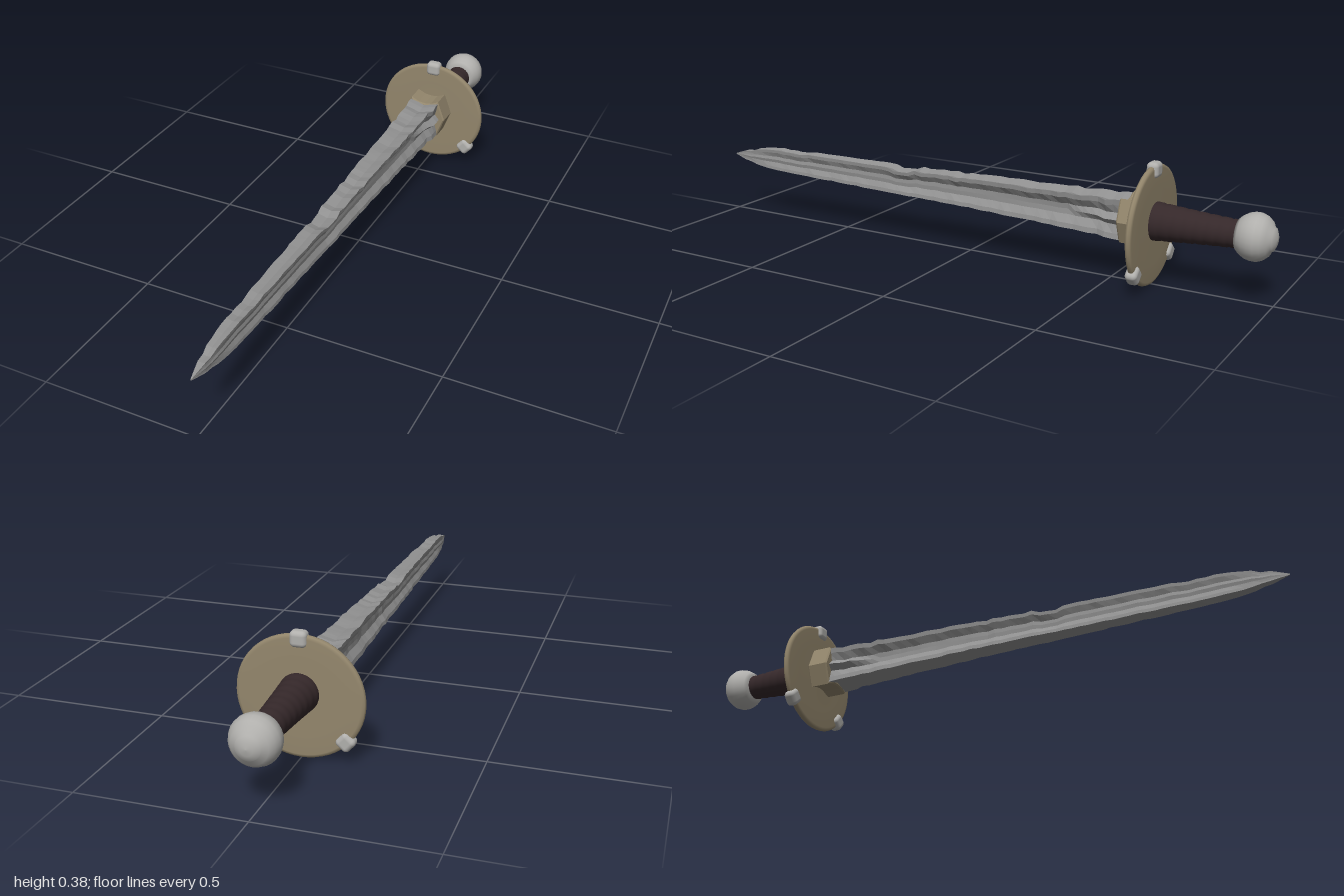
import * as THREE from 'three';
import { RoundedBoxGeometry } from 'three/addons/geometries/RoundedBoxGeometry.js';

const mat = (name, color, extra = {}) => Object.assign(new THREE.MeshStandardMaterial({ color, ...extra }), { name });

// Linear lookup in rows of [z, value, value, ...]
function sample(rows, z) {
  let i = 0;
  while (i < rows.length - 2 && z > rows[i + 1][0]) i++;
  const a = rows[i], b = rows[i + 1];
  const t = THREE.MathUtils.clamp((z - a[0]) / (b[0] - a[0]), 0, 1);
  return a.slice(1).map((v, k) => v + (b[k + 1] - v) * t);
}

// Repeatable noise in -1..1
const noise = (n) => { const s = Math.sin(n * 127.1 + 11.7) * 43758.5453; return 2 * (s - Math.floor(s)) - 1; };

// z, half width, top, bottom, side ridge factor, fuller factor, top groove depth
const bladeRows = [
  [-0.6, 0.05, 0.262, 0.137, 1.15, 0.95, 0.016],
  [-0.5, 0.052, 0.262, 0.14, 1.12, 0.72, 0.015],
  [-0.46, 0.046, 0.262, 0.143, 0.95, 0.62, 0.014],
  [-0.36, 0.043, 0.26, 0.147, 0.55, 0.6, 0.012],
  [0, 0.036, 0.253, 0.157, 0.6, 0.58, 0.01],
  [0.4, 0.028, 0.247, 0.163, 0.65, 0.6, 0.008],
  [0.8, 0.02, 0.246, 0.172, 0.8, 0.66, 0.005],
  [0.88, 0.017, 0.238, 0.179, 1.0, 0.85, 0.003],
  [0.95, 0.011, 0.223, 0.192, 1.1, 1.0, 0.001],
  [1.0, 0.001, 0.207, 0.204, 1.0, 1.0, 0],
];

// Grooved blade with a ridge along each side and worn edges
function bladeGeometry() {
  const n = 60, rings = [];
  for (let i = 0; i <= n; i++) {
    const z = -0.6 + (1.6 * i) / n;
    let [w, top, bot, ridge, fuller, groove] = sample(bladeRows, z);
    const wear = z > 0.93 || z < -0.5 ? 0 : 1;
    top -= wear * 0.005 * Math.max(0, noise(i));
    bot += wear * 0.002 * Math.max(0, noise(i + 90));
    if (Math.abs(z - 0.25) < 0.04) top -= 0.01;
    const my = (top + bot) / 2, h = (top - bot) / 2;
    const wl = w * (1 + wear * 0.07 * noise(i + 200)), wr = w * (1 + wear * 0.07 * noise(i + 300));
    const right = [[wr, -h], [wr * 0.95, -h * 0.72], [w * fuller, -h * 0.3], [w * ridge, 0],
      [w * fuller, h * 0.3], [wr * 0.95, h * 0.72], [wr, h]];
    const left = right.map(([x, y]) => [-x * wl / wr, y]).reverse();
    rings.push([[0, -h + groove], ...right, [0, h - groove], ...left].map(([x, y]) => [x, my + y, z]));
  }
  const pos = [];
  for (let i = 0; i < n; i++) {
    const m = rings[i].length;
    for (let j = 0; j < m; j++) {
      const k = (j + 1) % m;
      const a = rings[i][j], b = rings[i][k], c = rings[i + 1][k], d = rings[i + 1][j];
      pos.push(...a, ...b, ...c, ...a, ...c, ...d);
    }
  }
  const g = new THREE.BufferGeometry();
  g.setAttribute('position', new THREE.Float32BufferAttribute(pos, 3));
  g.computeVertexNormals();
  return g;
}

// Lathe whose axis runs along z; points are [radius, z] with z increasing
const latheZ = (pts, seg) =>
  new THREE.LatheGeometry(pts.map(([r, z]) => new THREE.Vector2(r, z)), seg).rotateX(Math.PI / 2);

export function createModel() {
  const group = new THREE.Group();
  const steel = mat('wornSteel', 0x919191, { side: THREE.DoubleSide });
  const silver = mat('paleMetal', 0xb0afac);
  const tan = mat('tanBrass', 0x93866c);
  const leather = mat('darkLeather', 0x35282a);
  const add = (name, geo, material, x = 0, y = 0, z = 0) => {
    const m = new THREE.Mesh(geo, material);
    m.name = name;
    m.position.set(x, y, z);
    group.add(m);
    return m;
  };

  add('blade', bladeGeometry(), steel);

  // Six-cornered collar with hollowed top and bottom
  const outline = [[0.076, 0], [0.051, 0.066], [0.025, 0.054], [0, 0.051], [-0.025, 0.054], [-0.051, 0.066],
    [-0.076, 0], [-0.051, -0.066], [-0.025, -0.056], [0, -0.053], [0.025, -0.056], [0.051, -0.066]];
  const collar = new THREE.Shape(outline.map(([x, y]) => new THREE.Vector2(x * 0.95, y * 0.95)));
  add('collar', new THREE.ExtrudeGeometry(collar, {
    depth: 0.064, bevelEnabled: true, bevelSize: 0.004, bevelThickness: 0.005, bevelSegments: 1,
  }), tan, 0, 0.2, -0.609);

  // Round guard with a soft rim
  const guard = add('guard', latheZ([[0, -0.011], [0.12, -0.01], [0.178, -0.01], [0.187, -0.007], [0.19, 0],
    [0.187, 0.007], [0.178, 0.01], [0.12, 0.009], [0, 0.011]], 56), tan, 0, 0.186, -0.625);
  guard.scale.y = 0.97;

  // Three studs gripping the rim
  for (const [x, y, turn] of [[0, 0.356, 0], [0.132, 0.068, -2.3], [-0.132, 0.068, 2.3]]) {
    const stud = add('rimStud', new RoundedBoxGeometry(0.05, 0.048, 0.038, 4, 0.014), silver, x, y, -0.625);
    stud.rotation.z = turn;
  }

  // Wrapped grip, slightly ribbed
  const gripPts = [];
  for (let i = 0; i <= 32; i++) {
    const t = i / 32;
    gripPts.push([0.041 + 0.018 * t ** 1.3 + (i % 4 === 0 ? -0.0015 : 0.0005), -0.9 + 0.27 * t]);
  }
  add('grip', latheZ(gripPts, 28), leather, 0, 0.2, 0);

  // Stepped round pommel
  add('pommel', latheZ([[0, -1], [0.018, -0.998], [0.034, -0.991], [0.036, -0.986], [0.052, -0.978], [0.064, -0.964],
    [0.071, -0.946], [0.071, -0.93], [0.066, -0.912], [0.056, -0.896], [0.046, -0.886], [0, -0.883]], 28),
  silver, 0, 0.2, 0);

  return group;
}
